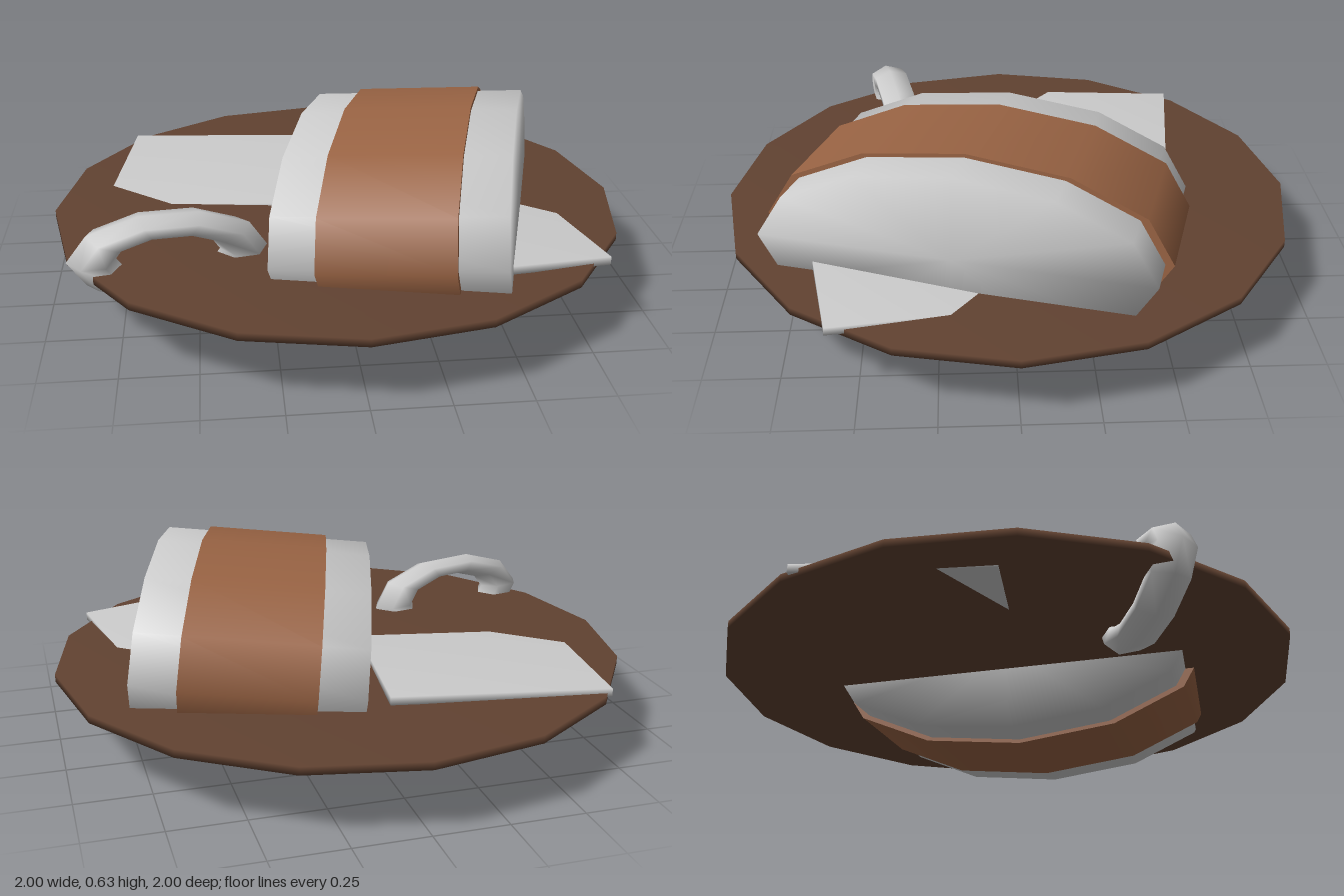
import * as THREE from 'three';
import { mergeVertices } from 'three/addons/utils/BufferGeometryUtils.js';

const grey = new THREE.MeshStandardMaterial({ color: 0xcccccc });
const darkBrown = new THREE.MeshStandardMaterial({ color: 0x614231 });
const brown = new THREE.MeshStandardMaterial({ color: 0x9a6444 });

// Weld the corners so shading runs smoothly over the edges
function smooth(geometry) {
  geometry.deleteAttribute('normal');
  geometry.deleteAttribute('uv');
  const welded = mergeVertices(geometry, 1e-4);
  welded.computeVertexNormals();
  return welded;
}

function part(name, geometry, material, position = [0, 0, 0], rotation = [0, 0, 0], order = 'YZX') {
  const mesh = new THREE.Mesh(geometry, material);
  mesh.name = name;
  mesh.position.set(...position);
  mesh.rotation.set(...rotation, order);
  return mesh;
}

// Twelve-sided oval drum lying along x
function drum(length, halfHeight, halfDepth) {
  return new THREE.CylinderGeometry(1, 1, length, 12)
    .rotateZ(Math.PI / 2)
    .scale(1, halfHeight, halfDepth);
}

export function createModel() {
  const model = new THREE.Group();
  model.name = 'platter';

  // Thin sixteen-sided plate
  model.add(part('plate', smooth(new THREE.CylinderGeometry(1, 1, 0.027, 16)), darkBrown, [0, 0.228, 0]));

  // Oval roll with a wrapped band, turned and slightly tipped
  const roll = new THREE.Group();
  roll.name = 'roll';
  roll.position.set(0.262, 0.316, 0.1);
  roll.rotation.set(0, -0.28, 0.08, 'YZX');
  roll.add(part('rollCore', smooth(drum(0.75, 0.287, 0.655)), grey));
  roll.add(part('rollBand', drum(0.44, 0.3, 0.685), brown));
  model.add(roll);

  // Flattened ring standing through the plate
  const ring = smooth(new THREE.TorusGeometry(0.25, 0.08, 6, 10)).scale(1, 0.46, 0.9);
  ring.computeVertexNormals();
  model.add(part('ring', ring, grey, [-0.59, 0.26, 0.42], [0.08, 0.2, -0.04]));

  // Two thin slices tilted into the plate
  const slice = smooth(new THREE.BoxGeometry(0.74, 0.028, 0.64));
  model.add(part('backSlice', slice, grey, [-0.42, 0.24, -0.315], [0.028, -0.14, 0.024], 'XZY'));
  model.add(part('frontSlice', slice, grey, [0.415, 0.247, 0.345], [-0.047, 0.19, -0.037], 'XZY'));

  return model;
}
